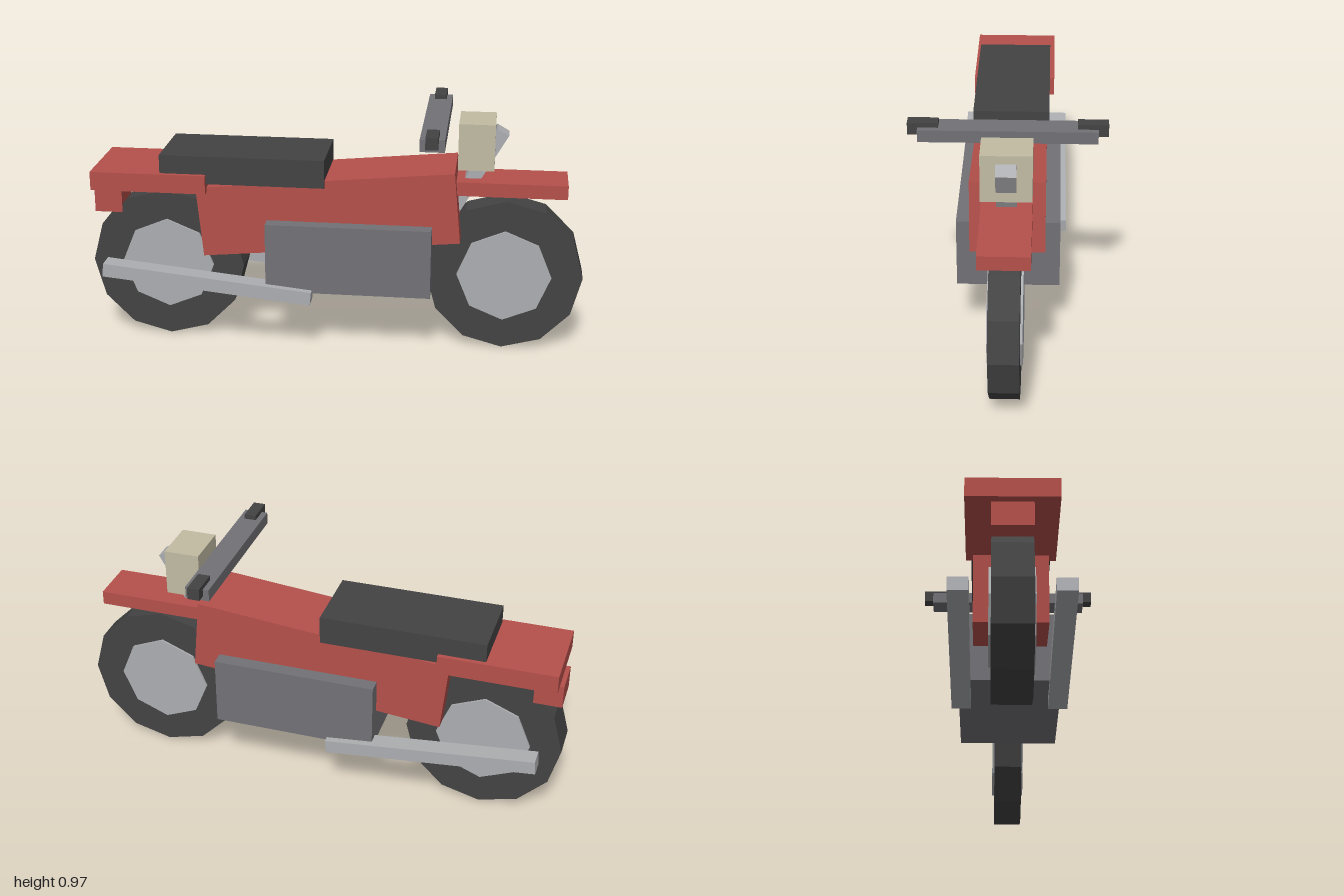
import * as THREE from 'three';

function material(name, color) {
  const m = new THREE.MeshStandardMaterial({ color });
  m.name = name;
  return m;
}

export function createModel() {
  const red = material('red paint', 0xb5504b);
  const black = material('black rubber', 0x434343);
  const steel = material('light steel', 0xadaeb1);
  const iron = material('dark iron', 0x727277);
  const cream = material('cream', 0xc2bca3);

  const bike = new THREE.Group();
  bike.name = 'motorbike';

  // box from its centre and size, tilted in the side plane
  function box(name, mat, [x, y, z], [w, h, d], tilt = 0) {
    const mesh = new THREE.Mesh(new THREE.BoxGeometry(w, h, d), mat);
    mesh.name = name;
    mesh.position.set(x, y, z);
    mesh.rotation.z = tilt;
    bike.add(mesh);
  }

  // faceted disc with its axle along z
  function disc(name, mat, radius, width, sides) {
    const geo = new THREE.CylinderGeometry(radius, radius, width, sides).toNonIndexed();
    geo.rotateX(Math.PI / 2);
    geo.computeVertexNormals();
    const mesh = new THREE.Mesh(geo, mat);
    mesh.name = name;
    return mesh;
  }

  function wheel(name, x, width) {
    const group = new THREE.Group();
    group.name = name;
    group.add(disc('tyre', black, 0.314, width, 12));
    group.add(disc('hub', steel, 0.19, width + 0.018, 8));
    group.position.set(x, 0.314, 0);
    bike.add(group);
  }

  // wheels
  wheel('rearWheel', -0.686, 0.15);
  wheel('frontWheel', 0.686, 0.114);

  // frame, engine and seat
  box('body', red, [-0.02, 0.57, 0], [1.035, 0.288, 0.286], 0.095);
  box('engine', iron, [0.068, 0.399, 0], [0.66, 0.283, 0.4]);
  box('seat', black, [-0.36, 0.742, 0], [0.66, 0.114, 0.304]);

  // fenders and tail
  box('rearFender', red, [-0.737, 0.686, 0], [0.467, 0.076, 0.342]);
  box('tailLight', red, [-0.927, 0.572, 0], [0.113, 0.095, 0.152]);
  box('frontFender', red, [0.686, 0.686, 0], [0.472, 0.056, 0.19]);

  // steering
  box('fork', steel, [0.536, 0.69, 0], [0.055, 0.5, 0.076], -0.52);
  box('headlight', cream, [0.561, 0.857, 0], [0.142, 0.187, 0.19]);
  box('handlebar', iron, [0.4, 0.93, 0], [0.095, 0.048, 0.664]);

  // paired parts
  for (const side of [-1, 1]) {
    box('grip', black, [0.4, 0.949, side * 0.313], [0.048, 0.047, 0.114]);
    box('exhaust', steel, [-0.5, 0.285, side * 0.19], [0.85, 0.055, 0.076], -0.1);
  }
  return bike;
}
